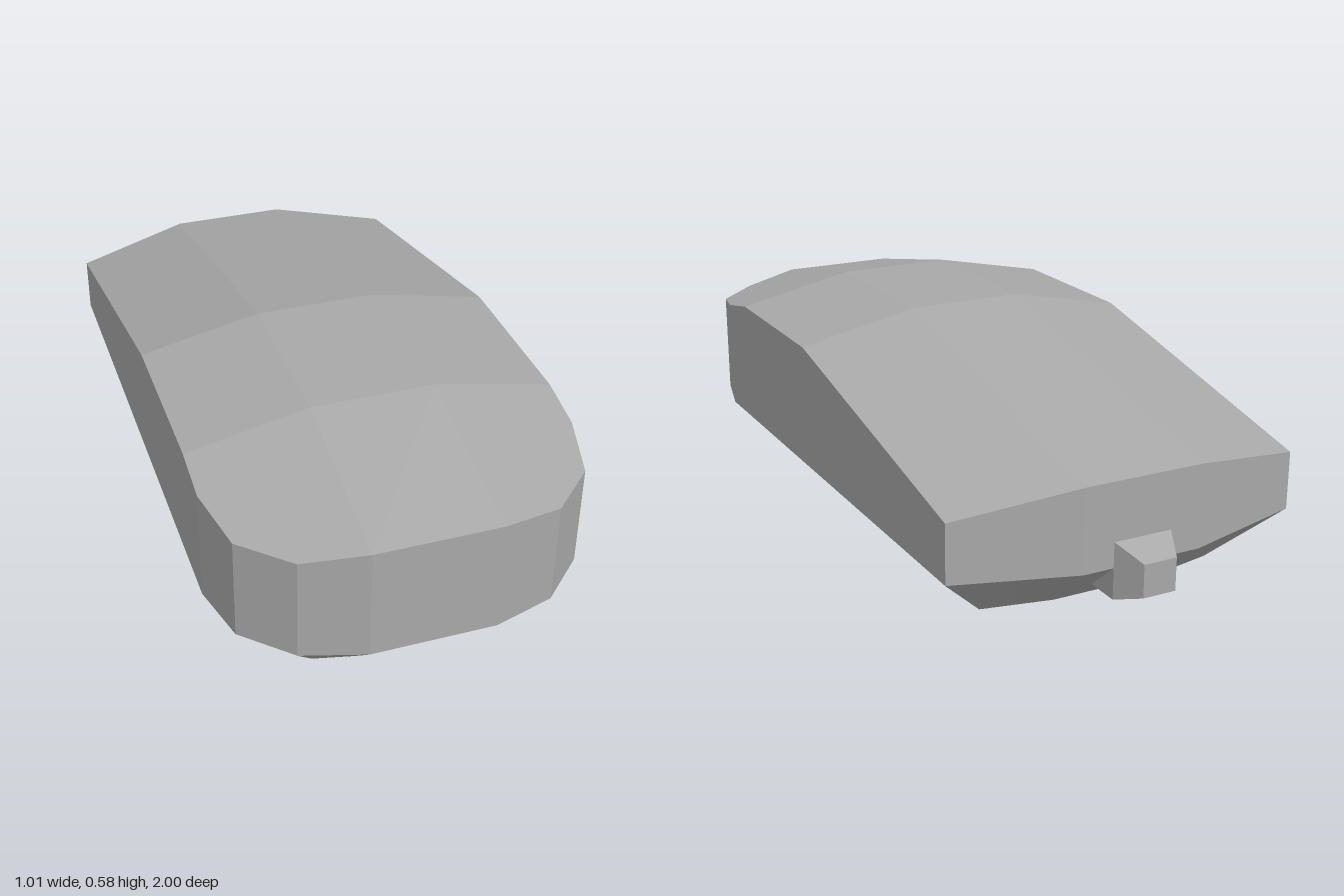
import * as THREE from 'three';

const lerp = THREE.MathUtils.lerp;

// Collects flat quads and triangles, corners counter-clockwise from outside
function faceMesh(name, material, build) {
  const pos = [];
  const tri = (a, b, c) => pos.push(...a, ...b, ...c);
  const quad = (a, b, c, d) => { tri(a, b, c); tri(a, c, d); };
  build(quad, tri);
  const geo = new THREE.BufferGeometry();
  geo.setAttribute('position', new THREE.Float32BufferAttribute(pos, 3));
  geo.computeVertexNormals();
  const mesh = new THREE.Mesh(geo, material);
  mesh.name = name;
  return mesh;
}

// Height of the arched top: a profile along z, dropping towards the sides
const profile = [[-0.92, 0.375], [0.04, 0.58], [0.52, 0.58], [1, 0.48]];
function topHeight(x, z) {
  let i = 0;
  while (i < 2 && z > profile[i + 1][0]) i++;
  const [z0, y0] = profile[i], [z1, y1] = profile[i + 1];
  const drop = 0.07 * Math.max(0, Math.abs(x) - 0.17) / 0.337;
  return lerp(y0, y1, (z - z0) / (z1 - z0)) - drop;
}

// Half outline from front to back: rim x, rim z, rim y, base x, base z
const half = [
  [0.17, 1, 0.16, 0.15, 0.84],
  [0.34, 0.95, 0.16, 0.26, 0.815],
  [0.465, 0.83, 0.16, 0.325, 0.76],
  [0.507, 0.66, 0.16, 0.345, 0.66],
  [0.507, 0.52, 0.16, 0.345, 0.52],
  [0.507, 0.04, 0.16, 0.345, 0.04],
];
for (const x of [0.507, 0.465, 0.34, 0.17]) {
  const t = (x - 0.17) / 0.337;
  half.push([x, lerp(-0.92, -0.845, t), lerp(0.145, 0.16, t), lerp(0.15, 0.345, t), lerp(-0.75, -0.71, t)]);
}

export function createModel() {
  const model = new THREE.Group();
  const grey = new THREE.MeshStandardMaterial({ color: 0xa8a8a8, flatShading: true });
  grey.name = 'grey';

  // Closed loop around the body
  const loop = [...half, ...half.slice().reverse().map(([x, z, y, bx, bz]) => [-x, z, y, -bx, bz])];
  const base = loop.map(p => [p[3], 0, p[4]]);
  const rim = loop.map(p => [p[0], p[2], p[1]]);
  const crest = loop.map(p => [p[0], topHeight(p[0], p[1]), p[1]]);
  const n = loop.length;

  // Side walls, and the sloping underside with its flat base
  model.add(faceMesh('sideWalls', grey, quad => {
    for (let i = 0; i < n; i++) {
      const j = (i + 1) % n;
      quad(rim[i], rim[j], crest[j], crest[i]);
    }
  }));
  model.add(faceMesh('underside', grey, (quad, tri) => {
    for (let i = 0; i < n; i++) {
      const j = (i + 1) % n;
      quad(base[i], base[j], rim[j], rim[i]);
      tri([0, 0, 0], base[j], base[i]);
    }
  }));

  // Arched top, in strips between neighbouring columns
  const columns = [];
  for (let k = 0; k < 4; k++) {
    const x = half[k][0];
    const zs = [half[k][1], 0.52, 0.04, half[9 - k][1]];
    for (const s of [-1, 1]) columns.push(zs.map(z => [s * x, topHeight(x, z), z]));
  }
  columns.sort((a, b) => a[0][0] - b[0][0]);
  model.add(faceMesh('topShell', grey, quad => {
    for (let i = 0; i < columns.length - 1; i++) {
      const a = columns[i], b = columns[i + 1];
      for (let k = 0; k < 3; k++) quad(a[k], b[k], b[k + 1], a[k + 1]);
    }
  }));

  // Cable stub at the back: a block with a tapered end
  const section = (w, y0, y1, z) => [[w, y0, z], [-w, y0, z], [-w, y1, z], [w, y1, z]];
  const rings = [section(0.083, 0.06, 0.215, -0.78), section(0.083, 0.06, 0.215, -0.92), section(0.047, 0.09, 0.18, -1)];
  model.add(faceMesh('cableStub', grey, quad => {
    for (let r = 0; r < 2; r++) {
      for (let i = 0; i < 4; i++) {
        const j = (i + 1) % 4;
        quad(rings[r][i], rings[r][j], rings[r + 1][j], rings[r + 1][i]);
      }
    }
    quad(...rings[2]);
    quad(...rings[0].slice().reverse());
  }));

  return model;
}
